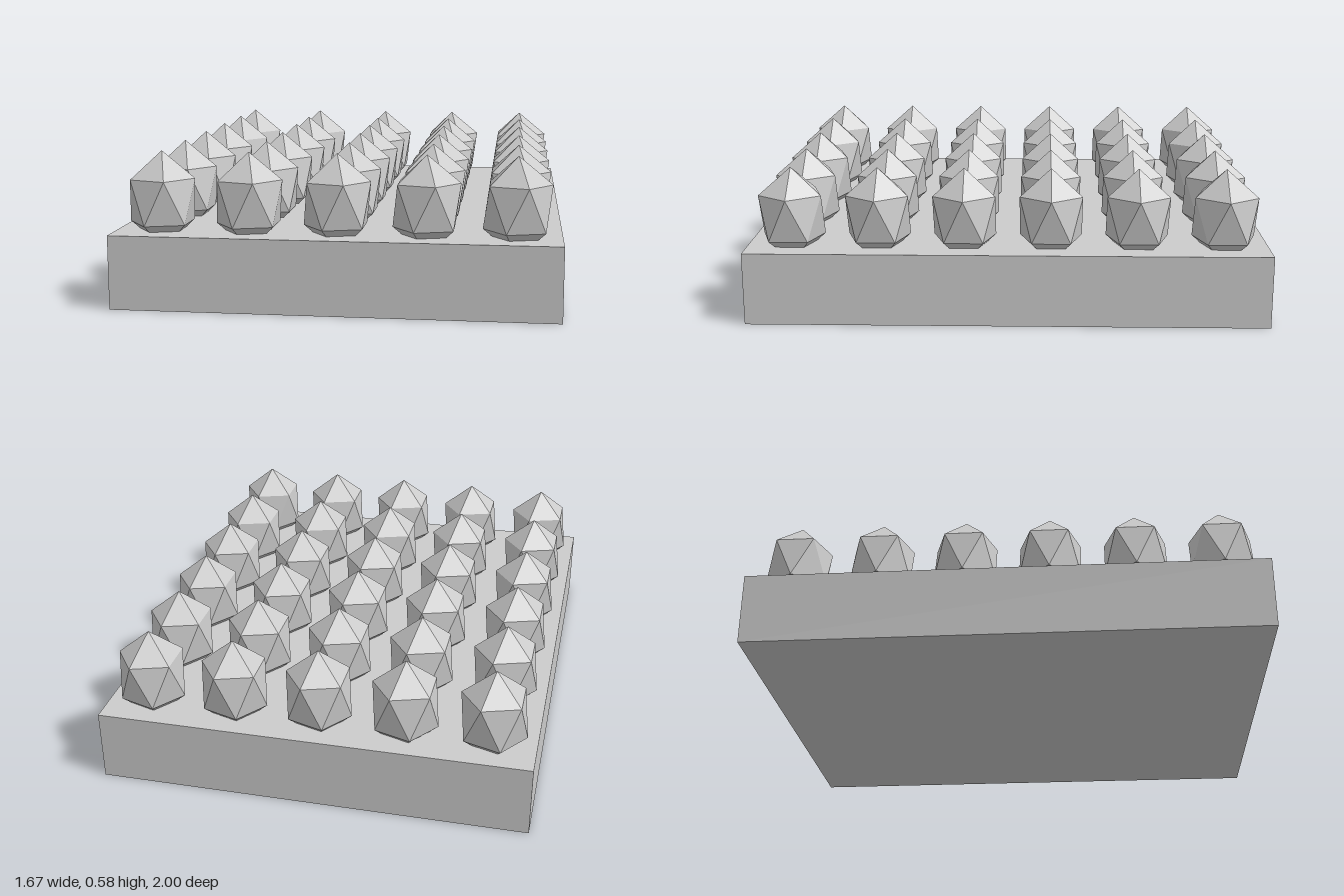
import * as THREE from 'three';

export function createModel() {
  const group = new THREE.Group();
  const material = new THREE.MeshStandardMaterial({ color: 0xcccccc, flatShading: true });

  // Flat slab, standing on y = 0
  const height = 0.28;
  const base = new THREE.Mesh(new THREE.BoxGeometry(5 / 3, height, 2), material);
  base.name = 'base';
  base.position.y = height / 2;
  group.add(base);

  // Icosahedron tipped onto a vertex and stretched upwards
  const golden = (1 + Math.sqrt(5)) / 2;
  const studGeometry = new THREE.IcosahedronGeometry(1, 0);
  studGeometry.rotateZ(-Math.atan(1 / golden));
  studGeometry.scale(0.1417, 0.1875, 0.1417);
  studGeometry.computeVertexNormals();

  // Grid of studs, partly sunk into the slab
  const columns = 5, rows = 6, pitch = 1 / 3;
  const studs = new THREE.Group();
  studs.name = 'studs';
  for (let row = 0; row < rows; row++) {
    for (let column = 0; column < columns; column++) {
      const stud = new THREE.Mesh(studGeometry, material);
      stud.name = `stud_${row + 1}_${column + 1}`;
      stud.position.set(
        (column - (columns - 1) / 2) * pitch,
        0.391,
        (row - (rows - 1) / 2) * pitch
      );
      studs.add(stud);
    }
  }
  group.add(studs);

  return group;
}
